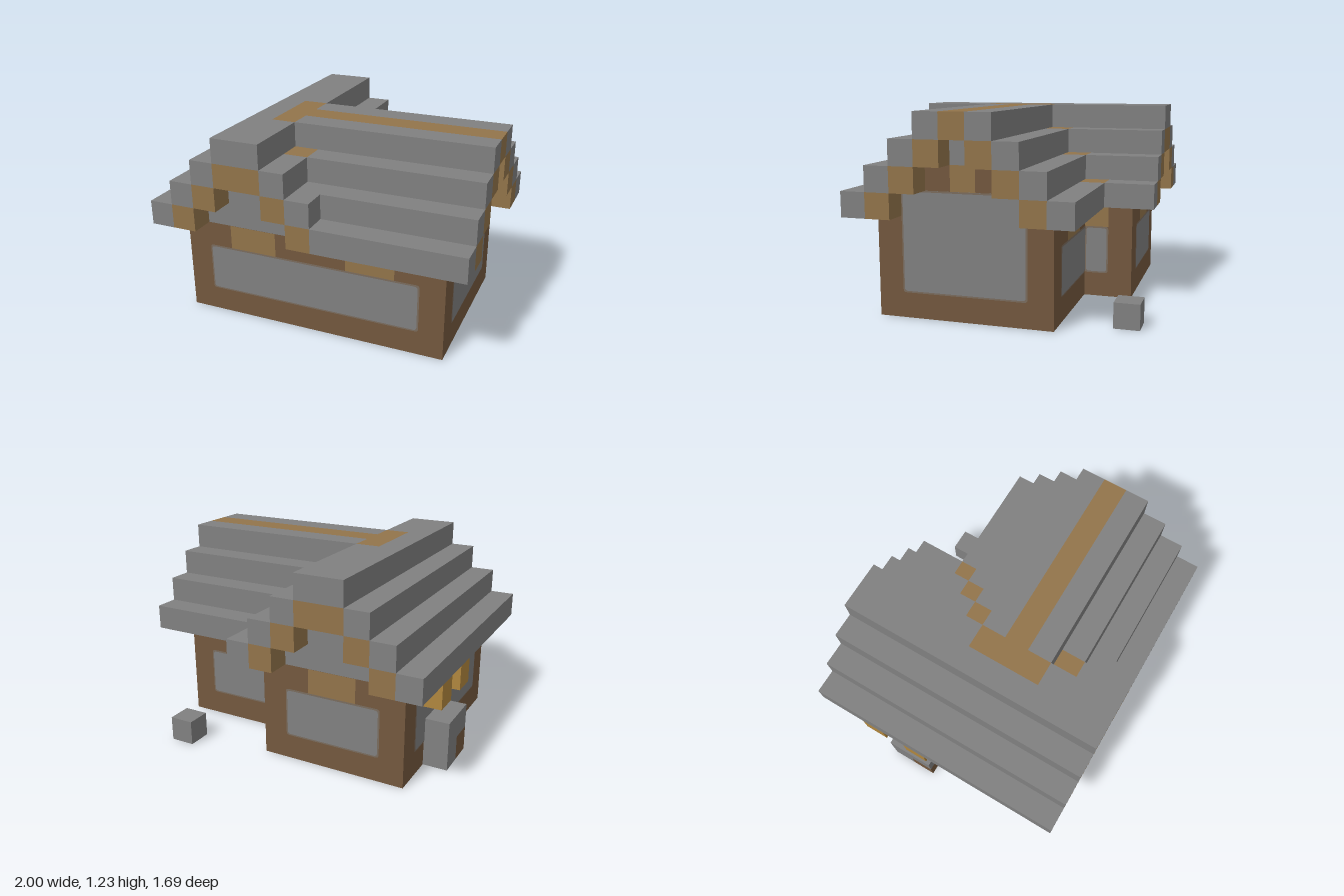
import * as THREE from 'three';

const U = 2 / 13; // one block

export function createModel() {
  const root = new THREE.Group();
  root.name = 'blockHouse';
  const mat = (name, color) => {
    const m = new THREE.MeshStandardMaterial({ color });
    m.name = name;
    return m;
  };
  const stone = mat('stoneGrey', 0x808080);
  const brown = mat('darkWood', 0x73583e);
  const wood = mat('lightWood', 0x92744a);
  const amber = mat('amber', 0xb0863e);
  const rim = mat('windowRim', 0x7a6c5e);

  const X = i => -1 + i * U, Y = j => j * U, Z = k => (k - 5.5) * U;

  // Box covering an inclusive range of blocks; ranges are [first, last] or a single index
  const range = r => (Array.isArray(r) ? r : [r, r]);
  function blocks(name, material, i, j, k) {
    const [a, b] = range(i), [c, d] = range(j), [e, f] = range(k);
    const geo = new THREE.BoxGeometry((b - a + 1) * U, (d - c + 1) * U, (f - e + 1) * U);
    const mesh = new THREE.Mesh(geo, material);
    mesh.position.set((X(a) + X(b + 1)) / 2, (Y(c) + Y(d + 1)) / 2, (Z(e) + Z(f + 1)) / 2);
    mesh.name = name;
    root.add(mesh);
  }

  // Rounded rectangle, centred
  function pane(w, h, r) {
    const s = new THREE.Shape(), x = w / 2, y = h / 2;
    s.moveTo(-x + r, -y);
    s.lineTo(x - r, -y).quadraticCurveTo(x, -y, x, -y + r);
    s.lineTo(x, y - r).quadraticCurveTo(x, y, x - r, y);
    s.lineTo(-x + r, y).quadraticCurveTo(-x, y, -x, y - r);
    s.lineTo(-x, -y + r).quadraticCurveTo(-x, -y, -x + r, -y);
    return new THREE.ShapeGeometry(s, 4);
  }

  // Thin wall panel; side is the facing direction, at is the wall plane, [a, b] the blocks along it
  const turns = { front: 0, right: Math.PI / 2, back: Math.PI, left: -Math.PI / 2 };
  function panel(name, side, at, [a, b], [c, d], material, inset = 0, r = 0, lift = 0.002) {
    const mesh = new THREE.Mesh(pane((b - a + 1) * U - inset * 2, (d - c + 1) * U - inset * 2, r), material);
    const out = side === 'front' || side === 'right' ? lift : -lift;
    const mid = (a + b + 1) / 2, y = Y((c + d + 1) / 2);
    if (side === 'front' || side === 'back') mesh.position.set(X(mid), y, Z(at) + out);
    else mesh.position.set(X(at) + out, y, Z(mid));
    mesh.rotation.y = turns[side];
    mesh.name = name;
    root.add(mesh);
  }
  function window_(name, side, at, along, up) {
    panel(name + 'Rim', side, at, along, up, rim, 0, 0.02, 0.002);
    panel(name, side, at, along, up, stone, 0.01, 0.02, 0.004);
  }

  // Walls
  blocks('mainWalls', brown, [1, 11], [0, 3], [3, 9]);
  blocks('wingWalls', brown, [1, 6], [0, 3], [1, 2]);

  // Windows and lintels
  window_('frontWindow', 'front', 10, [2, 10], [1, 2]);
  window_('rightWindow', 'right', 12, [4, 8], [1, 4]);
  window_('leftWindow', 'left', 1, [2, 8], [1, 3]);
  window_('wingBackWindow', 'back', 1, [2, 5], [1, 2]);
  window_('mainBackWindow', 'back', 3, [7, 10], [1, 2]);
  window_('wingRightWindow', 'right', 7, [2, 2], [1, 2]);
  panel('frontLintel', 'front', 10, [3, 4], [3, 3], wood);
  panel('frontLintel', 'front', 10, [8, 9], [3, 3], wood);
  panel('wingBackLintel', 'back', 1, [3, 4], [3, 3], wood);
  panel('mainBackLintel', 'back', 3, [8, 9], [3, 3], wood);
  panel('wingRightLintel', 'right', 7, [2, 2], [3, 3], wood);

  // Gable infill walls of the wing (both ends) and of the main house
  blocks('wingGableWall', stone, [2, 5], 4, [1, 9]);
  blocks('wingGableWall', stone, [3, 4], 5, [1, 9]);
  blocks('mainGableWall', stone, [6, 11], 4, [4, 8]);
  for (const k of [5, 7]) blocks('mainGableWall', brown, [6, 11], 5, k);
  blocks('mainGableWall', wood, [6, 11], 5, 6);
  blocks('mainGableWall', stone, [6, 11], 6, 6);

  // Stepped roof running front to back; right side is broken by the valley
  for (let s = 0; s < 3; s++) {
    blocks('wingRoofLeft', stone, s, 4 + s, [0, 10]);
    blocks('wingRoofRightBack', stone, 7 - s, 4 + s, [0, 1 + s]);
    blocks('wingRoofRightFront', stone, 7 - s, 4 + s, [s === 2 ? 9 : 10 - s, 10]);
    blocks('valleyBlock', wood, 7 - s, 4 + s, 2 + s);
  }
  blocks('valleyBlock', wood, 5, 6, 8);
  blocks('wingRidge', stone, 3, 7, [0, 10]);
  blocks('wingRidge', stone, 4, 7, [0, 4]);
  blocks('wingRidge', stone, 4, 7, [8, 10]);
  blocks('ridgeCrossing', wood, 4, 7, [5, 7]);

  // Stepped roof running to the right
  for (let s = 0; s < 3; s++) {
    blocks('mainRoofFront', stone, [8 - s, 12], 4 + s, 10 - s);
    blocks('mainRoofBack', stone, [8 - s, 12], 4 + s, 2 + s);
  }
  for (const k of [5, 7]) blocks('mainRidgeSide', stone, [5, 12], 7, k);
  blocks('mainRidge', wood, [5, 12], 7, 6);

  // Stepped trim under the roof ends
  for (let s = 0; s < 3; s++) {
    for (const k of [0, 10]) {
      blocks('wingTrim', wood, 1 + s, 4 + s, k);
      blocks('wingTrim', wood, 6 - s, 4 + s, k);
    }
    blocks('mainTrim', wood, 12, 4 + s, 9 - s);
    blocks('mainTrim', wood, 12, 4 + s, 3 + s);
  }

  // Lamps and bench on the left wall, loose stone at the back
  for (const k of [2, 4]) blocks('lamp', amber, 0, 3, k);
  blocks('bench', stone, 0, [0, 1], 3);
  blocks('bench', stone, 0, 1, 4);
  blocks('benchFoot', brown, 0, 0, 4);
  blocks('looseStone', stone, 10, 0, 0);

  return root;
}
